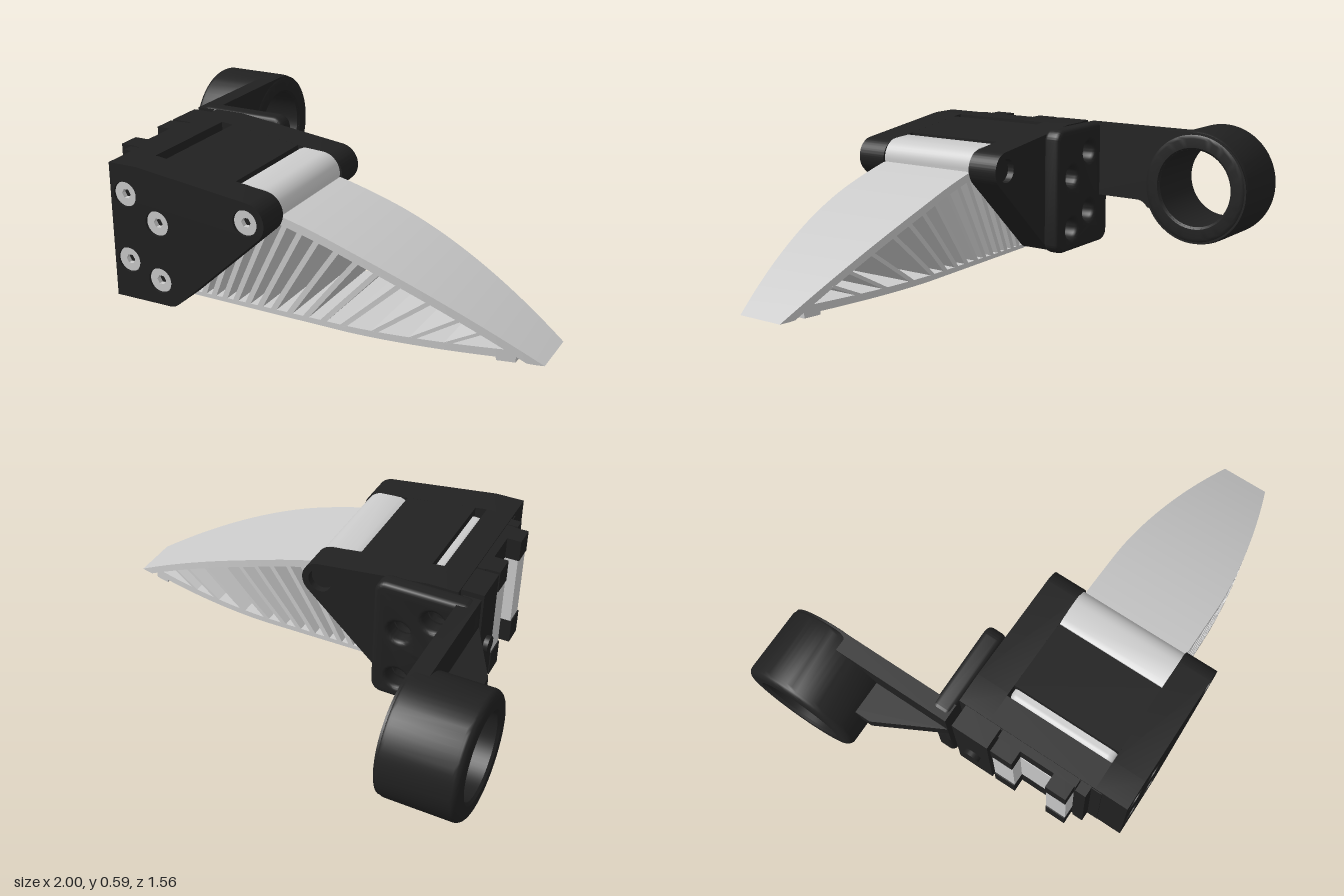
import * as THREE from 'three';
import { toCreasedNormals } from 'three/addons/utils/BufferGeometryUtils.js';
import { RoundedBoxGeometry } from 'three/addons/geometries/RoundedBoxGeometry.js';

const black = new THREE.MeshStandardMaterial({ color: 0x212121 });
const grey = new THREE.MeshStandardMaterial({ color: 0xcccccc });
const rad = THREE.MathUtils.degToRad;
const lerp = THREE.MathUtils.lerp;
const MID = 0.405; // z of the finger's centre plane
const PIVOT = [-0.07, 0.45];
const BOLTS = [[-0.6, 0.47], [-0.46, 0.375], [-0.6, 0.2], [-0.46, 0.14]];

// Finger half width, narrowing towards the tip
const halfWidth = (x) => 0.236 - 0.131 * Math.pow(Math.max(0, (x - 0.25) / 0.75), 1.7);

// Bar of rectangular section across the finger; each station is a pair of xy points
function band(stations) {
  const pos = [], index = [];
  for (const [a, b] of stations) {
    for (const [[x, y], s] of [[a, 1], [b, 1], [b, -1], [a, -1]]) pos.push(x, y, MID + s * halfWidth(x));
  }
  const quad = (a, b, c, d) => index.push(a, b, c, a, c, d);
  const last = (stations.length - 1) * 4;
  for (let i = 0; i < last; i += 4) {
    for (let k = 0; k < 4; k++) {
      const n = (k + 1) % 4;
      quad(i + k, i + n, i + 4 + n, i + 4 + k);
    }
  }
  quad(3, 2, 1, 0);
  quad(last, last + 1, last + 2, last + 3);
  const geo = new THREE.BufferGeometry();
  geo.setAttribute('position', new THREE.Float32BufferAttribute(pos, 3));
  geo.setIndex(index);
  return toCreasedNormals(geo, 0.4);
}

export function createModel() {
  const model = new THREE.Group();
  const group = (name) => {
    const g = new THREE.Group();
    g.name = name;
    model.add(g);
    return g;
  };
  const add = (name, geo, mat, parent = model) => {
    const mesh = new THREE.Mesh(geo, mat);
    mesh.name = name;
    parent.add(mesh);
    return mesh;
  };
  // Box given by its min and max on each axis
  const box = (name, mat, x0, x1, y0, y1, z0, z1, parent) =>
    add(name, new THREE.BoxGeometry(x1 - x0, y1 - y0, z1 - z0), mat, parent)
      .position.set((x0 + x1) / 2, (y0 + y1) / 2, (z0 + z1) / 2);
  const poly = (pts) => new THREE.Shape(pts.map(([x, y]) => new THREE.Vector2(x, y)));
  const circle = (x, y, r) => new THREE.Path().absarc(x, y, r, 0, Math.PI * 2, true);
  // Extrude an xy shape from z0 to z1
  const extrude = (shape, z0, z1, opts = {}) => toCreasedNormals(
    new THREE.ExtrudeGeometry(shape, { depth: z1 - z0, bevelEnabled: false, curveSegments: 20, ...opts })
      .translate(0, 0, z0), 0.5);

  // ---- Bracket: two side plates joined by a roof and a back wall
  const bracket = group('bracket');
  const side = new THREE.Shape();
  side.moveTo(-0.54, 0.59);
  side.lineTo(-0.665, 0.59);
  side.lineTo(-0.665, 0.04);
  side.absarc(-0.42, 0.1, 0.06, rad(-90), rad(-47), false);
  side.absarc(...PIVOT, 0.08, rad(-47), rad(83), false);
  side.closePath();
  for (const p of [...BOLTS, PIVOT]) side.holes.push(circle(...p, 0.051));
  add('frontSidePlate', extrude(side, 0.64, 0.78), black, bracket);
  add('backSidePlate', extrude(side, 0.03, 0.17), black, bracket);
  const roof = poly([[-0.5, 0.52], [-0.19, 0.49], [-0.19, 0.5455], [-0.5, 0.585]]);
  add('roof', extrude(roof, 0.17, 0.64), black, bracket);
  box('backWall', black, -0.665, -0.55, 0.04, 0.59, 0.17, 0.64, bracket);

  // ---- Screws sunk into the side plates
  const head = new THREE.Shape().absarc(0, 0, 0.05, 0, Math.PI * 2, false);
  const socket = [];
  for (let i = 0; i < 6; i++) socket.push(new THREE.Vector2(0.02, 0).rotateAround(new THREE.Vector2(), -i * Math.PI / 3));
  head.holes.push(new THREE.Path(socket));
  const headGeo = extrude(head, 0.74, 0.77);
  const shankGeo = new THREE.CylinderGeometry(0.051, 0.051, 0.69, 40).rotateX(Math.PI / 2).translate(0, 0, 0.405);
  for (const [x, y] of [...BOLTS, PIVOT]) {
    const screw = group('screw');
    screw.position.set(x, y, 0);
    add('screwHead', headGeo, grey, screw);
    add('screwShank', shankGeo, black, screw);
  }

  // ---- Flexible finger: top and bottom skins joined by slanted ribs
  const finger = group('finger');
  const topY = (x) => 0.44 - 0.24 * x - 0.2 * x * x;
  const bottomY = (x) => (x < 0.831 ? 0.031 - 0.0136 * x : 0.035 * (1 - x));
  const ceiling = (x) => Math.min(topY(x) - 0.035, 0.42 + 0.93 * (x + 0.02));
  const topSkin = [], bottomSkin = [];
  for (let i = 0; i <= 32; i++) {
    const x = i / 32;
    topSkin.push([[x, topY(x)], [x, Math.max(topY(x) - 0.035, bottomY(x))]]);
  }
  for (let i = 0; i <= 26; i++) bottomSkin.push(lerp(-0.48, 0.83, i / 26));
  bottomSkin.push(0.832, 0.87, 0.9);
  add('topSkin', band(topSkin), grey, finger);
  add('bottomSkin', band(bottomSkin.map((x) => [[x, 0.052], [x, bottomY(x)]])), grey, finger);

  // Knuckle and back edge, inside the bracket
  const knuckle = [[-0.48, 0.04], [-0.4, 0.04], [-0.39, 0.076], [-0.03, 0.411], [0, 0.405]];
  for (let a = -11; a <= 90; a += 10) knuckle.push([-0.08 + 0.08 * Math.cos(rad(a)), 0.455 + 0.08 * Math.sin(rad(a))]);
  knuckle.push([-0.16, 0.54], [-0.183, 0.53], [-0.19, 0.5]);
  add('knuckle', extrude(poly(knuckle), MID - 0.236, MID + 0.236), grey, finger);

  const ribs = [-0.355, -0.31, -0.26, -0.21, -0.155, -0.1, -0.04, 0.03, 0.1, 0.175, 0.26, 0.385, 0.53, 0.66];
  ribs.forEach((b, i) => {
    const half = 0.011 + 0.004 * i / ribs.length;
    const slope = 0.65 + 1.3 * b + 1.5 * b * b;
    // One edge of the rib, from the bottom skin up into the top one
    const edge = (x0) => {
      let y = 0.052;
      while (y < ceiling(x0 + slope * (y - 0.052)) + 0.006) y += 0.001;
      return [0, 0.25, 0.5, 0.75, 1].map((t) => {
        const h = lerp(0.045, y, t);
        return [x0 + slope * (h - 0.052), h];
      });
    };
    const left = edge(b - half), right = edge(b + half);
    add('rib', band(left.map((p, k) => [p, right[k]])), grey, finger);
  });
  add('fingerBase', new RoundedBoxGeometry(0.15, 0.51, 0.468, 3, 0.03), grey, finger).position.set(-0.475, 0.3, MID);

  // ---- Rail mount behind the bracket
  const mount = group('railMount');
  box('mountWall', black, -0.7, -0.64, 0.04, 0.585, 0.23, 0.575, mount);
  box('mountFlange', black, -0.668, -0.55, 0.05, 0.575, 0.16, 0.67, mount);
  box('mountClamp', black, -0.76, -0.64, 0.07, 0.585, 0.06, 0.22, mount);
  box('mountLip', black, -0.71, -0.65, 0.07, 0.585, 0.58, 0.625, mount);
  for (const [z0, z1] of [[0.235, 0.33], [0.48, 0.57]]) {
    box('railCapBottom', black, -0.76, -0.63, 0.07, 0.18, z0, z1, mount);
    box('railCapTop', black, -0.76, -0.63, 0.49, 0.585, z0, z1, mount);
    box('rail', grey, -0.755, -0.69, 0.18, 0.49, z0, z1, mount);
  }
  box('railWeb', grey, -0.703, -0.69, 0.18, 0.49, 0.33, 0.48, mount);
  const knob = add('clampScrew', new THREE.CylinderGeometry(0.035, 0.035, 0.04, 24).rotateZ(Math.PI / 2), black, mount);
  knob.position.set(-0.76, 0.3, 0.14);

  // ---- Mounting plate on the back side, rounded all round
  const [px0, px1, py0, py1, pr] = [-0.74, -0.365, 0.06, 0.57, 0.03];
  const plate = new THREE.Shape();
  plate.absarc(px1 - pr, py0 + pr, pr, rad(-90), 0, false);
  plate.absarc(px1 - pr, py1 - pr, pr, 0, rad(90), false);
  plate.absarc(px0 + pr, py1 - pr, pr, rad(90), rad(180), false);
  plate.absarc(px0 + pr, py0 + pr, pr, rad(180), rad(270), false);
  for (const p of BOLTS) plate.holes.push(circle(...p, 0.066));
  add('mountingPlate', extrude(plate, -0.03, 0.01,
    { bevelEnabled: true, bevelSize: 0.02, bevelThickness: 0.02, bevelSegments: 4 }), black);

  // ---- Arm and ring, drawn in the zy plane with u = -z
  const [cu, cy] = [0.53, 0.34];
  const arm = new THREE.Shape();
  arm.moveTo(-0.03, 0.26);
  arm.lineTo(0.245, 0.26);
  arm.quadraticCurveTo(0.28, 0.26, 0.3, 0.23);
  arm.absarc(cu, cy, 0.245, rad(207), rad(450), false);
  arm.lineTo(-0.03, 0.585);
  arm.closePath();
  arm.holes.push(circle(cu, cy, 0.175));
  add('arm', extrude(arm, -0.76, -0.685).rotateY(Math.PI / 2), black);

  // Ring profile: radius and x, with rounded outer rims
  const profile = [[0.17, -0.99], [0.18, -1]];
  for (let a = 0; a <= 90; a += 15) profile.push([0.22 + 0.03 * Math.sin(rad(a)), -0.97 - 0.03 * Math.cos(rad(a))]);
  for (let a = 0; a <= 90; a += 15) profile.push([0.22 + 0.03 * Math.cos(rad(a)), -0.71 + 0.03 * Math.sin(rad(a))]);
  profile.push([0.18, -0.68], [0.17, -0.69], [0.17, -0.99]);
  const ringGeo = new THREE.LatheGeometry(profile.map((p) => new THREE.Vector2(...p)), 64).rotateZ(-Math.PI / 2);
  add('ring', toCreasedNormals(ringGeo, 0.5), black).position.set(0, cy, -cu);

  // Gusset between ring and arm, drawn in the xz plane
  const gusset = poly([[-0.9, 0.34], [-0.9, 0.24], [-0.76, -0.03], [-0.74, -0.03], [-0.74, 0.34]]);
  add('gusset', extrude(gusset, 0.39, 0.455).rotateX(-Math.PI / 2), black);

  return model;
}
